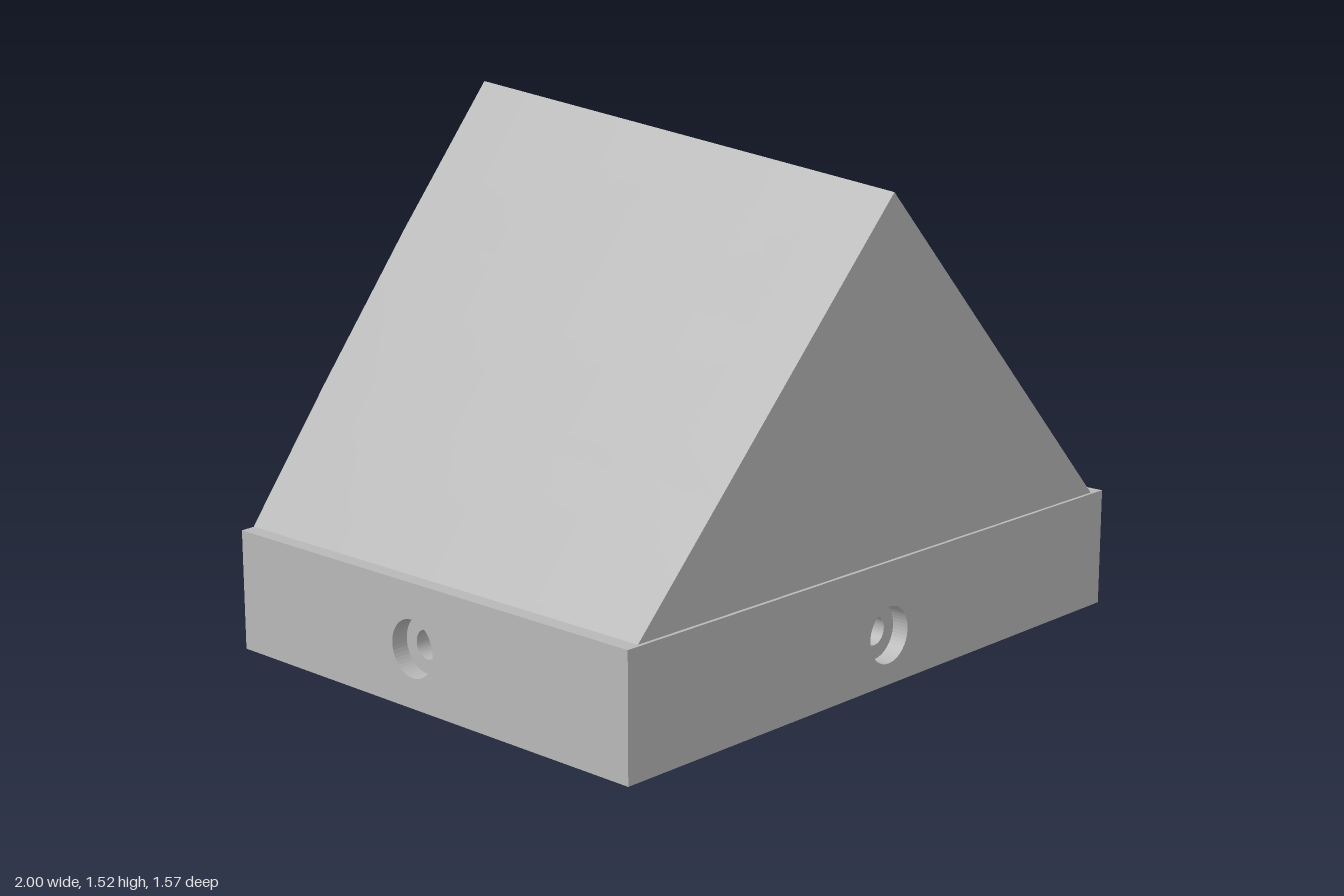
import * as THREE from 'three';
import { toCreasedNormals } from 'three/addons/utils/BufferGeometryUtils.js';

const WALL = 0.345;                       // height of the base walls
const IN_X = 0.87, IN_Z = 0.6;            // half size of the base opening
const FRONT = 0.785;
const backZ = (x) => -0.785 + 0.07 * x * x;              // bowed back
const ridgeY = (z) => 1.335 + (0.775 - z) * 0.1154;      // ridge rises to the back

// Upright slab with a round hole, from z0 to z1
function drilledSlab(halfWidth, z0, z1, holeY, radius) {
  const shape = new THREE.Shape([
    new THREE.Vector2(-halfWidth, 0), new THREE.Vector2(halfWidth, 0),
    new THREE.Vector2(halfWidth, WALL), new THREE.Vector2(-halfWidth, WALL),
  ]);
  shape.holes.push(new THREE.Path().absarc(0, holeY, radius, 0, Math.PI * 2, true));
  const geo = new THREE.ExtrudeGeometry(shape, { depth: z1 - z0, bevelEnabled: false, curveSegments: 24 });
  return geo.translate(0, 0, z0);
}

// Wall with a counterbored screw hole: wide outside, narrow inside
function screwWall(name, halfWidth, inner, outer, holeY, material) {
  const wall = new THREE.Group();
  wall.name = name;
  const step = outer - 0.05;
  const face = new THREE.Mesh(drilledSlab(halfWidth, step, outer, holeY, 0.08), material);
  face.name = name + 'Face';
  const core = new THREE.Mesh(drilledSlab(halfWidth, inner, step, holeY, 0.04), material);
  core.name = name + 'Core';
  wall.add(face, core);
  return wall;
}

// Gable skin: columns across x, each running up the front, along the roof and down the back
function gableSkin(eave, front, drop, backInset, inward) {
  const xs = [-eave, -2 / 3, -1 / 3, 0, 1 / 3, 2 / 3, eave];
  const steps = 8, ring = steps + 3;
  const pos = [], index = [];
  for (const x of xs) {
    const back = backZ(x) + backInset;
    const k = 1 - Math.abs(x) / eave;
    pos.push(x, WALL, front);
    for (let j = 0; j <= steps; j++) {
      const z = front + (back - front) * j / steps;
      pos.push(x, WALL + (ridgeY(z) - drop - WALL) * k, z);
    }
    pos.push(x, WALL, back);
  }
  for (let i = 0; i < xs.length - 1; i++) {
    for (let j = 0; j < ring - 1; j++) {
      const a = i * ring + j, b = a + ring, c = b + 1, d = a + 1;
      if (inward) index.push(a, c, b, a, d, c);
      else index.push(a, b, c, a, c, d);
    }
  }
  const geo = new THREE.BufferGeometry();
  geo.setAttribute('position', new THREE.Float32BufferAttribute(pos, 3));
  geo.setIndex(index);
  return toCreasedNormals(geo, 0.4);
}

export function createModel() {
  const grey = new THREE.MeshStandardMaterial({ color: 0xb8b8b8 });
  grey.name = 'grey';
  const model = new THREE.Group();
  model.name = 'gabledCover';

  // Front and side walls with screw holes
  model.add(screwWall('frontWall', 1, IN_Z, FRONT, 0.14, grey));
  const sideWall = screwWall('rightWall', IN_Z, IN_X, 1, 0.165, grey);
  sideWall.rotation.y = -Math.PI / 2;
  model.add(sideWall);

  // Plain side wall joined to the bowed back wall
  const outline = [[IN_X, -IN_Z], [1, -IN_Z]];
  for (let i = 3; i >= -3; i--) outline.push([i / 3, -backZ(i / 3)]);
  outline.push([-1, IN_Z], [IN_X, IN_Z]);
  const shape = new THREE.Shape(outline.map(([x, y]) => new THREE.Vector2(x, y)));
  const rearGeo = new THREE.ExtrudeGeometry(shape, { depth: WALL, bevelEnabled: false });
  rearGeo.rotateX(-Math.PI / 2);
  const rear = new THREE.Mesh(toCreasedNormals(rearGeo, 0.4), grey);
  rear.name = 'leftAndBackWall';
  model.add(rear);

  // Hollow gable: outer skin and inner lining
  const roof = new THREE.Mesh(gableSkin(0.955, 0.775, 0, 0, false), grey);
  roof.name = 'gableRoof';
  const lining = new THREE.Mesh(gableSkin(0.9, 0.73, 0.06, 0.045, true), grey);
  lining.name = 'gableLining';
  model.add(roof, lining);
  return model;
}
